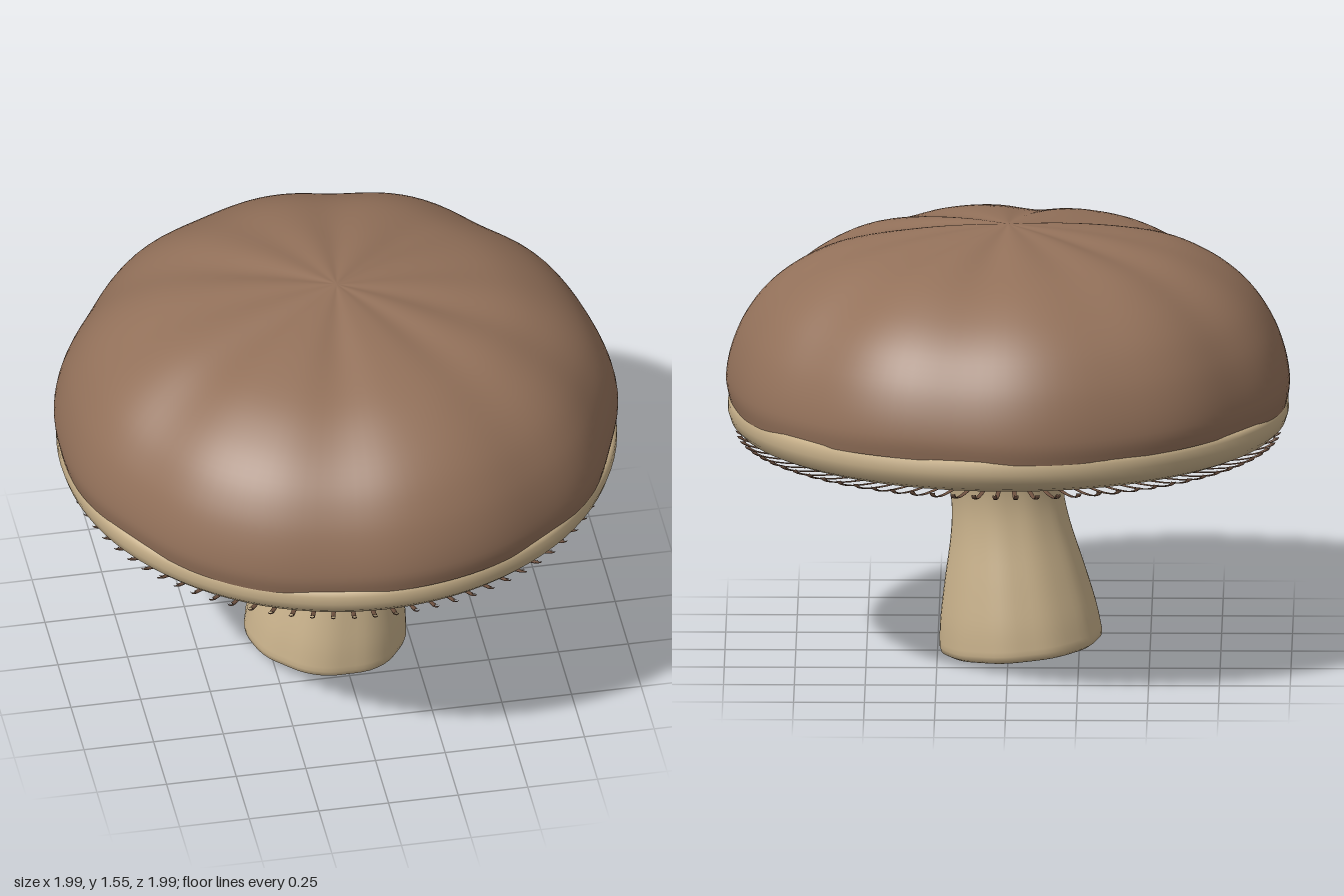
import * as THREE from 'three';
import { mergeVertices, mergeGeometries } from 'three/addons/utils/BufferGeometryUtils.js';

const material = (name, color) => {
  const m = new THREE.MeshStandardMaterial({ color });
  m.name = name;
  return m;
};

const toVectors = (points) => points.map(([r, y]) => new THREE.Vector2(r, y));

// Smooth profile through a few [radius, height] points, bottom to top
function profile(points, count) {
  const smooth = new THREE.SplineCurve(toVectors(points)).getPoints(count);
  return smooth.map((p) => new THREE.Vector2(Math.max(0, p.x), p.y));
}

// Turn a profile, then move each vertex by a rule and smooth across the seam
function turned(points, segments, rule) {
  let g = new THREE.LatheGeometry(points, segments);
  g.deleteAttribute('uv');
  g.deleteAttribute('normal');
  if (rule) {
    const p = g.attributes.position;
    const v = new THREE.Vector3();
    for (let i = 0; i < p.count; i++) {
      v.fromBufferAttribute(p, i);
      rule(v, Math.atan2(v.z, v.x));
      p.setXYZ(i, v.x, v.y, v.z);
    }
  }
  g = mergeVertices(g, 1e-5);
  g.computeVertexNormals();
  return g;
}

// Depth of the radial furrows at an angle: 0 on a lobe, 1 in a furrow
const furrows = [20, 52, 100, 148, 180, 212, 245, 280, 318, 350];
const depths = [1, 0.8, 1, 1, 0.4, 1, 0.5, 0.9, 1, 0.5];
function furrow(angle) {
  let sum = 0;
  furrows.forEach((deg, i) => {
    let d = angle - THREE.MathUtils.degToRad(deg);
    d = Math.atan2(Math.sin(d), Math.cos(d));
    sum += depths[i] * Math.exp(-((d / 0.19) ** 2));
  });
  return sum;
}

export function createModel() {
  const capBrown = material('cap brown', 0x93715a);
  const cream = material('stem cream', 0xc7b08a);
  const discBrown = material('underside brown', 0x8a6853);
  const gillBrown = material('gill brown', 0x735543);

  const group = new THREE.Group();
  const add = (name, geometry, mat) => {
    const mesh = new THREE.Mesh(geometry, mat);
    mesh.name = name;
    group.add(mesh);
    return mesh;
  };

  // Domed cap with shallow furrows and a slightly wavy lower edge
  const dome = profile([
    [0.985, 0.93], [0.996, 1.0], [0.978, 1.1], [0.935, 1.205], [0.86, 1.31],
    [0.75, 1.4], [0.6, 1.474], [0.4, 1.522], [0.2, 1.547], [0, 1.558],
  ], 40);
  add('cap', turned(dome, 120, (v, a) => {
    const r = Math.hypot(v.x, v.z);
    const f = furrow(a);
    const rise = (v.y - 0.93) / 0.63;
    const scale = 1.005 - (0.016 + 0.02 * rise * (1 - rise)) * f;
    v.x *= scale;
    v.z *= scale;
    v.y -= 0.018 * f * rise * Math.min(1, r / 0.35);
    v.y += 0.005 * Math.sin(5 * a + 1) * (1 - rise);
  }), capBrown);

  // Rounded rim and flat underside
  add('rim', turned(toVectors([
    [0, 0.812], [0.6, 0.812], [0.88, 0.812], [0.92, 0.816], [0.955, 0.832],
    [0.98, 0.858], [0.99, 0.89], [0.989, 0.92], [0.98, 0.938], [0.95, 0.945],
  ]), 96), cream);

  // Brown disc set on the underside
  const disc = add('undersideDisc', new THREE.CylinderGeometry(0.78, 0.78, 0.006, 72), discBrown);
  disc.position.y = 0.81;

  // Thin flattened gills, each a shallow half ring between the stem and the rim
  const count = 80;
  const gill = new THREE.TorusGeometry(0.375, 0.009, 6, 18, Math.PI)
    .rotateZ(Math.PI)
    .scale(1, 0.147, 1)
    .translate(0.58, 0.812, 0);
  const gills = [];
  for (let i = 0; i < count; i++) {
    gills.push(gill.clone().rotateY(((i + 0.5) / count) * Math.PI * 2));
  }
  add('gills', mergeGeometries(gills), gillBrown);

  // Leaning, waisted stem with faint ridges
  const base = toVectors([[0, -0.004], [0.2, 0], [0.272, 0.003], [0.286, 0.012]]);
  const side = profile([
    [0.29, 0.03], [0.278, 0.13], [0.249, 0.27], [0.213, 0.43],
    [0.2, 0.55], [0.213, 0.66], [0.252, 0.74], [0.298, 0.81],
  ], 28);
  const stem = add('stem', turned([...base, ...side], 60, (v, a) => {
    const s = 1.005 - 0.025 * furrow(a + 0.3);
    v.x *= s;
    v.z *= s;
  }), cream);
  stem.position.set(-0.045, 0.025, 0);
  stem.rotation.z = -0.09;

  return group;
}
